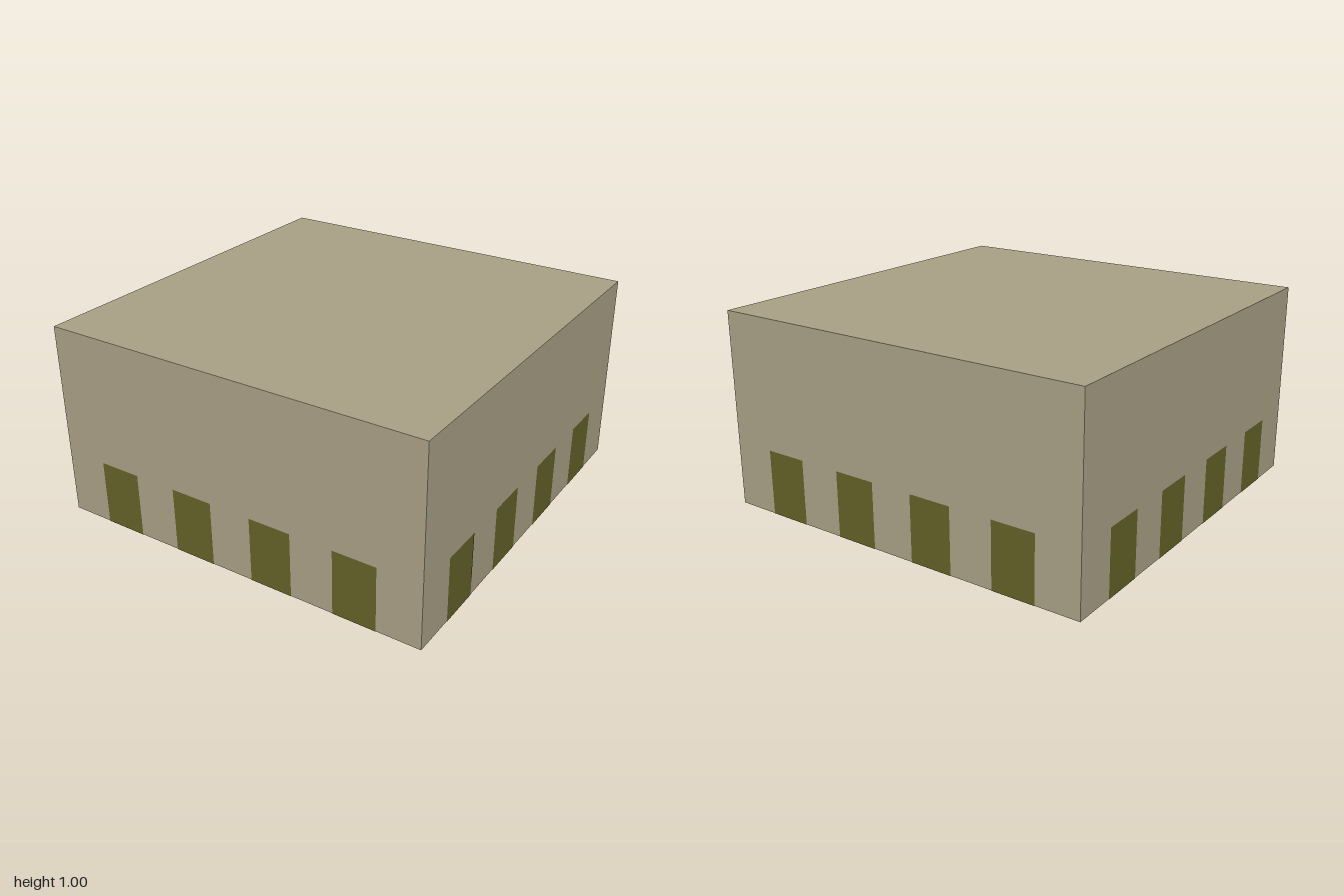
import * as THREE from 'three';

const WIDTH = 2, HEIGHT = 1;
const DOOR_WIDTH = 2 / 9, DOOR_HEIGHT = 1 / 3, DOORS_PER_SIDE = 4;

export function createModel() {
  const model = new THREE.Group();
  model.name = 'building';

  const wallMaterial = new THREE.MeshStandardMaterial({ color: 0xa89f85 });
  const doorMaterial = new THREE.MeshStandardMaterial({ color: 0x636027 });

  // Plain block with a flat roof
  const body = new THREE.Mesh(new THREE.BoxGeometry(WIDTH, HEIGHT, WIDTH), wallMaterial);
  body.name = 'body';
  body.position.y = HEIGHT / 2;
  model.add(body);

  // Four evenly spaced doors on each side, a hair proud of the wall
  const doorGeometry = new THREE.PlaneGeometry(DOOR_WIDTH, DOOR_HEIGHT);
  ['front', 'left', 'back', 'right'].forEach((side, s) => {
    const row = new THREE.Group();
    row.name = side + 'Doors';
    row.rotation.y = s * Math.PI / 2;
    for (let i = 0; i < DOORS_PER_SIDE; i++) {
      const door = new THREE.Mesh(doorGeometry, doorMaterial);
      door.name = side + 'Door' + (i + 1);
      door.position.set((i - (DOORS_PER_SIDE - 1) / 2) * 2 * DOOR_WIDTH, DOOR_HEIGHT / 2, WIDTH / 2 + 0.002);
      row.add(door);
    }
    model.add(row);
  });

  return model;
}
